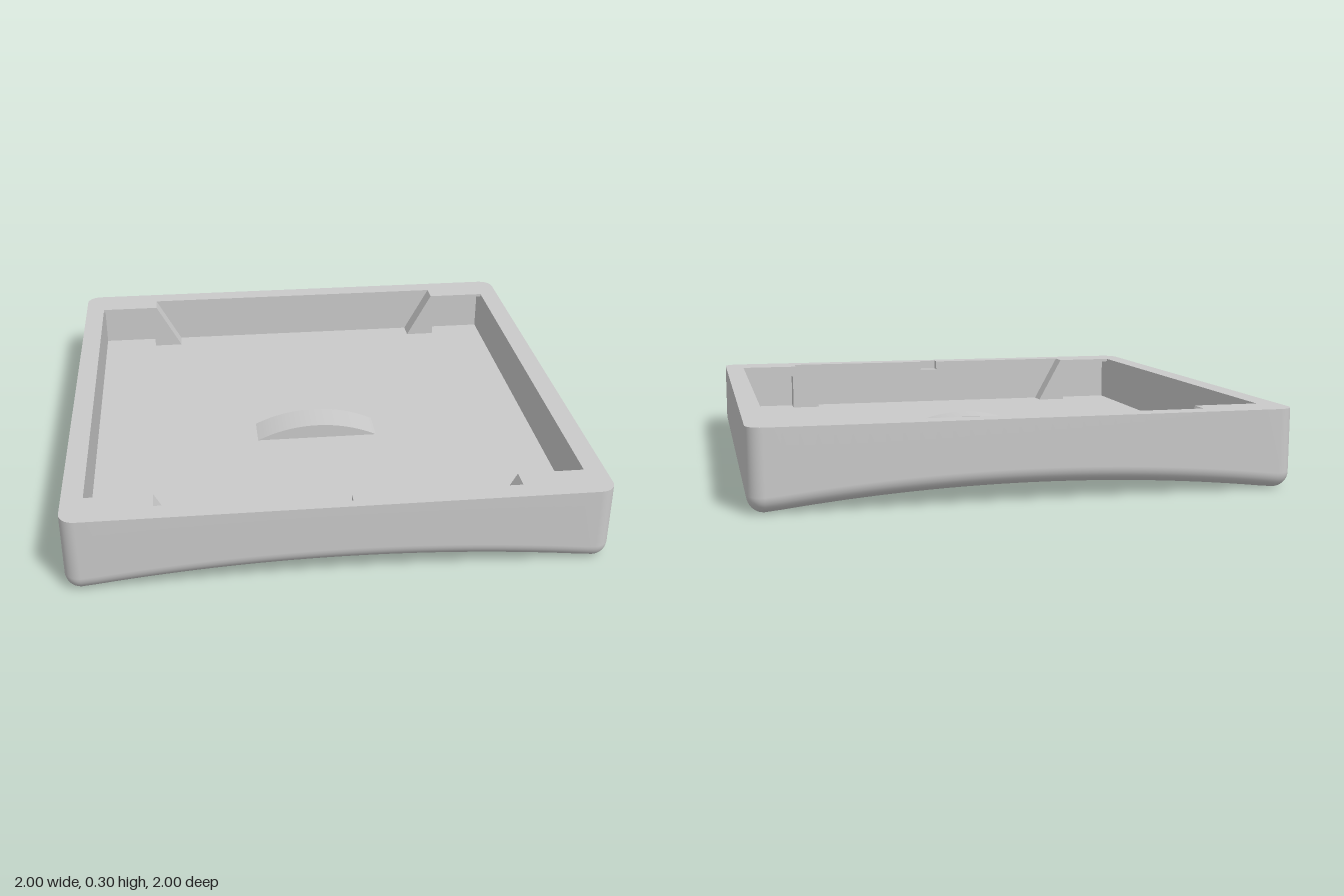
import * as THREE from 'three';
import { mergeVertices } from 'three/addons/utils/BufferGeometryUtils.js';

const TOP = 0.3, FLOOR = 0.1, R = 0.06, C = 1 - R;
const PX = 0.92, PZ = 0.921, LIP_Z = 0.842, LIP_X = 0.67;
const NOTCH = 0.04, SIDE_STEPS = 32, CORNER_STEPS = 8;

// Height of the arched underside
const arch = x => 0.06 * Math.max(0, 1 - (x / 0.93) ** 2);

// Rounded square outline as [x, z] points, inset by a distance
function outline(inset) {
  const pts = [], r = R - inset;
  const centres = [[C, C], [-C, C], [-C, -C], [C, -C]];
  centres.forEach(([cx, cz], q) => {
    for (let i = 0; i <= CORNER_STEPS; i++) {
      const a = (q + i / CORNER_STEPS) * Math.PI / 2;
      pts.push([cx + r * Math.cos(a), cz + r * Math.sin(a)]);
    }
    const [nx, nz] = centres[(q + 1) % 4], a = (q + 1) * Math.PI / 2;
    for (let i = 1; i < SIDE_STEPS; i++) {
      const t = i / SIDE_STEPS;
      pts.push([cx + (nx - cx) * t + r * Math.cos(a), cz + (nz - cz) * t + r * Math.sin(a)]);
    }
  });
  return pts;
}

// Outer walls, rounded lower edge and arched underside in one smooth skin
function shellGeometry() {
  const pos = [], idx = [];
  const loops = [outline(0).map(([x, z]) => [x, TOP, z])];
  for (let k = 0; k <= 8; k++) {
    const a = k / 8 * Math.PI / 2;
    loops.push(outline(R * (1 - Math.cos(a))).map(([x, z]) => [x, arch(x) + R * (1 - Math.sin(a)), z]));
  }
  const n = loops[0].length;
  loops.forEach(l => l.forEach(p => pos.push(...p)));
  for (let k = 0; k < loops.length - 1; k++) {
    for (let j = 0; j < n; j++) {
      const a = k * n + j, b = k * n + (j + 1) % n;
      idx.push(a, b, a + n, b, b + n, a + n);
    }
  }
  const base = pos.length / 3;
  for (let i = 0; i <= SIDE_STEPS; i++) {
    const x = -C + 2 * C * i / SIDE_STEPS;
    pos.push(x, arch(x), -C, x, arch(x), C);
    if (i < SIDE_STEPS) {
      const p = base + 2 * i;
      idx.push(p, p + 2, p + 1, p + 1, p + 2, p + 3);
    }
  }
  const g = new THREE.BufferGeometry();
  g.setAttribute('position', new THREE.Float32BufferAttribute(pos, 3));
  g.setIndex(idx);
  const merged = mergeVertices(g, 1e-4);
  merged.computeVertexNormals();
  return merged;
}

const toShape = pts => new THREE.Shape(pts.map(([x, y]) => new THREE.Vector2(x, y)));

// Frame outline with a hole; shape y becomes -z once laid flat
function frameShape(outer, hole) {
  const s = toShape(outer.map(([x, z]) => [x, -z]));
  s.holes.push(toShape(hole.map(([x, z]) => [x, -z])));
  return s;
}

export function createModel() {
  const group = new THREE.Group();
  const grey = new THREE.MeshStandardMaterial({ color: 0xcacaca });
  grey.name = 'light grey';
  const add = (name, geometry, y = 0, z = 0) => {
    const m = new THREE.Mesh(geometry, grey);
    m.name = name;
    m.position.set(0, y, z);
    group.add(m);
  };

  add('outerShell', shellGeometry());

  // Flat rim around the stepped opening, with a small notch at the front
  const notch = [[NOTCH, PZ], [NOTCH, 0.96], [-NOTCH, 0.96], [-NOTCH, PZ]];
  const opening = [
    [PX, -LIP_Z], [PX, LIP_Z], [LIP_X, LIP_Z], [LIP_X, PZ], ...notch,
    [-LIP_X, PZ], [-LIP_X, LIP_Z], [-PX, LIP_Z], [-PX, -LIP_Z],
    [-LIP_X, -LIP_Z], [-LIP_X, -PZ], [LIP_X, -PZ], [LIP_X, -LIP_Z],
  ];
  add('rim', new THREE.ShapeGeometry(frameShape(outline(0), opening)).rotateX(-Math.PI / 2), TOP);

  // Inner walls in two tiers, the upper one cut by the notch
  // (outer loop runs opposite to the holes so the inner faces look inwards)
  const block = [[0.975, 0.975], [0.975, -0.975], [-0.975, -0.975], [-0.975, 0.975]];
  const pocket = [[PX, -PZ], [PX, PZ], [-PX, PZ], [-PX, -PZ]];
  const notched = [[PX, -PZ], [PX, PZ], ...notch, [-PX, PZ], [-PX, -PZ]];
  const tier = (hole, depth) =>
    new THREE.ExtrudeGeometry(frameShape(block, hole), { depth, bevelEnabled: false }).rotateX(-Math.PI / 2);
  add('lowerInnerWall', tier(pocket, 0.26 - FLOOR), FLOOR);
  add('upperInnerWall', tier(notched, TOP - 0.2605), 0.26);

  add('pocketFloor', new THREE.PlaneGeometry(2 * PX, 2 * PZ).rotateX(-Math.PI / 2), FLOOR);

  // Corner clips: sloping stop joined to a thin overhanging lip
  const clipProfile = [
    [0.56, FLOOR], [LIP_X, 0.2995], [PX, 0.2995], [PX, 0.288],
    [0.85, 0.283], [0.76, 0.27], [0.685, 0.252], [0.685, FLOOR],
  ];
  for (const sx of [-1, 1]) {
    for (const sz of [-1, 1]) {
      const g = new THREE.ExtrudeGeometry(toShape(clipProfile.map(([x, y]) => [sx * x, y])),
        { depth: PZ - LIP_Z, bevelEnabled: false });
      add('cornerClip', g, 0, sz > 0 ? LIP_Z : -PZ);
    }
  }

  // Low curved hump on the floor
  const hump = new THREE.Shape();
  const half = 0.25, rise = 0.058, rad = (half * half + rise * rise) / (2 * rise);
  const sweep = Math.asin(half / rad);
  hump.absarc(0, FLOOR + rise - rad, rad, Math.PI / 2 - sweep, Math.PI / 2 + sweep, false);
  hump.closePath();
  add('floorHump', new THREE.ExtrudeGeometry(hump, { depth: 0.145, bevelEnabled: false, curveSegments: 24 }));

  return group;
}
